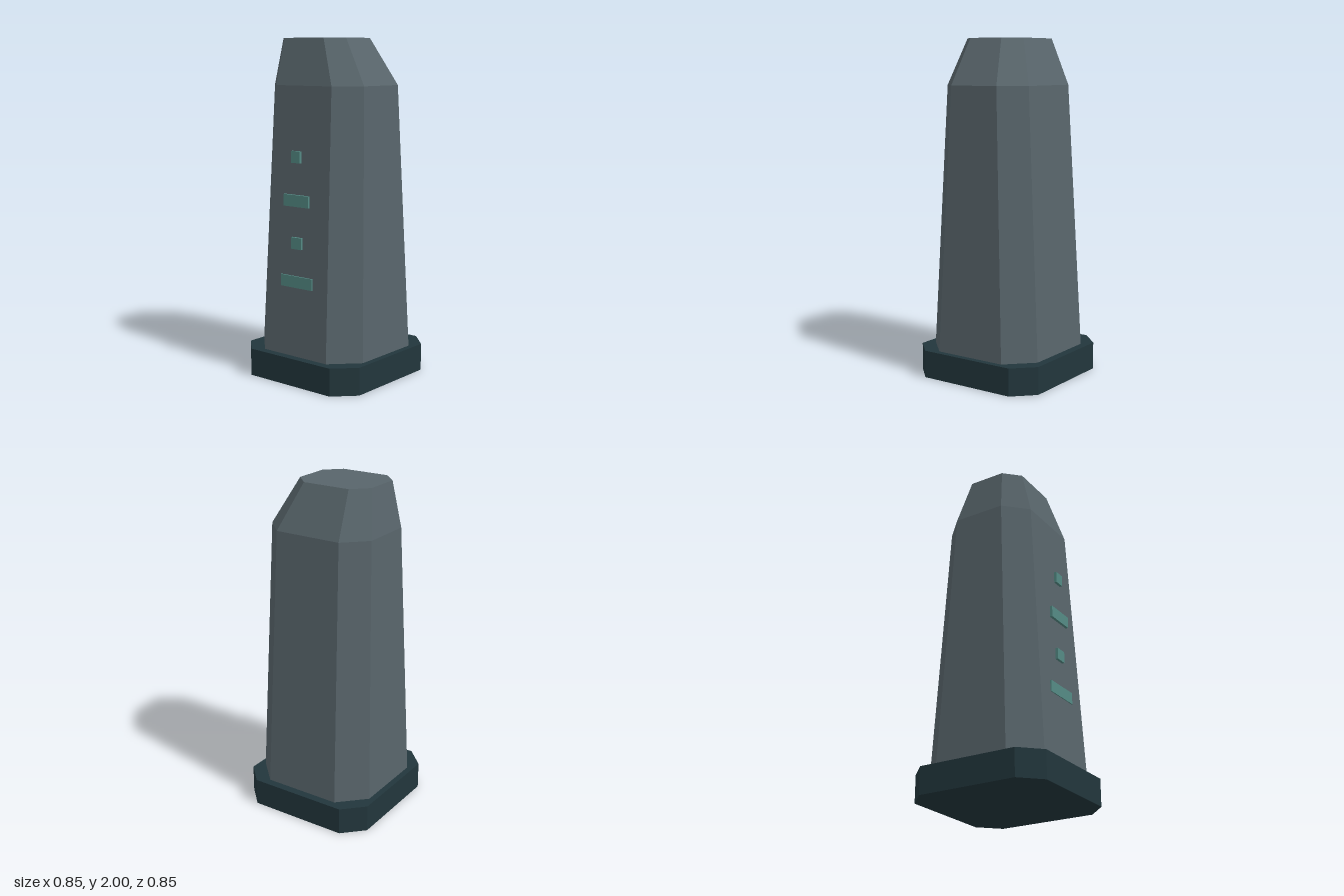
import * as THREE from 'three';

const stone = new THREE.MeshStandardMaterial({ color: 0x58656b });
stone.name = 'grey stone';
const plinth = new THREE.MeshStandardMaterial({ color: 0x22363c });
plinth.name = 'dark teal plinth';
const inlay = new THREE.MeshStandardMaterial({ color: 0x548a84 });
inlay.name = 'pale teal inlay';

// Chamfered rectangle at height y, running front -> right -> back -> left
function ring(y, x0, x1, z0, z1, cx, cz) {
  return [
    [x0 + cx, y, z1], [x1 - cx, y, z1], [x1, y, z1 - cz], [x1, y, z0 + cz],
    [x1 - cx, y, z0], [x0 + cx, y, z0], [x0, y, z0 + cz], [x0, y, z1 - cz],
  ];
}

// Flat-faced solid through a stack of rings, closed at both ends
function loft(rings) {
  const pos = [];
  const tri = (a, b, c) => pos.push(...a, ...b, ...c);
  const n = rings[0].length;
  for (let r = 0; r < rings.length - 1; r++) {
    for (let i = 0; i < n; i++) {
      const j = (i + 1) % n;
      tri(rings[r][i], rings[r][j], rings[r + 1][j]);
      tri(rings[r][i], rings[r + 1][j], rings[r + 1][i]);
    }
  }
  const bottom = rings[0], top = rings[rings.length - 1];
  for (let i = 1; i < n - 1; i++) {
    tri(top[0], top[i], top[i + 1]);
    tri(bottom[0], bottom[i + 1], bottom[i]);
  }
  const geo = new THREE.BufferGeometry();
  geo.setAttribute('position', new THREE.Float32BufferAttribute(pos, 3));
  geo.computeVertexNormals();
  return geo;
}

export function createModel() {
  const model = new THREE.Group();
  model.name = 'standingStone';
  const add = (name, geo, mat) => {
    const mesh = new THREE.Mesh(geo, mat);
    mesh.name = name;
    model.add(mesh);
    return mesh;
  };

  // Octagonal foot slab
  add('base', loft([
    ring(0, -0.424, 0.424, -0.424, 0.424, 0.12, 0.12),
    ring(0.163, -0.424, 0.424, -0.424, 0.424, 0.12, 0.12),
  ]), plinth);

  // Tapering shaft with a lopsided cap
  add('shaft', loft([
    ring(0.163, -0.387, 0.387, -0.375, 0.375, 0.15, 0.15),
    ring(1.73, -0.337, 0.337, -0.288, 0.288, 0.129, 0.129),
    ring(2, -0.288, 0.187, -0.176, 0.224, 0.09, 0.09),
  ]), stone);

  // Inlaid bars on the front: [centre height, width]
  [[0.602, 0.238], [0.83, 0.076], [1.077, 0.186], [1.329, 0.066]].forEach(([y, w], i) => {
    add('inlayBar' + (i + 1), new THREE.BoxGeometry(w, 0.068, 0.016), inlay)
      .position.set(-0.001, y, 0.35);
  });

  return model;
}
